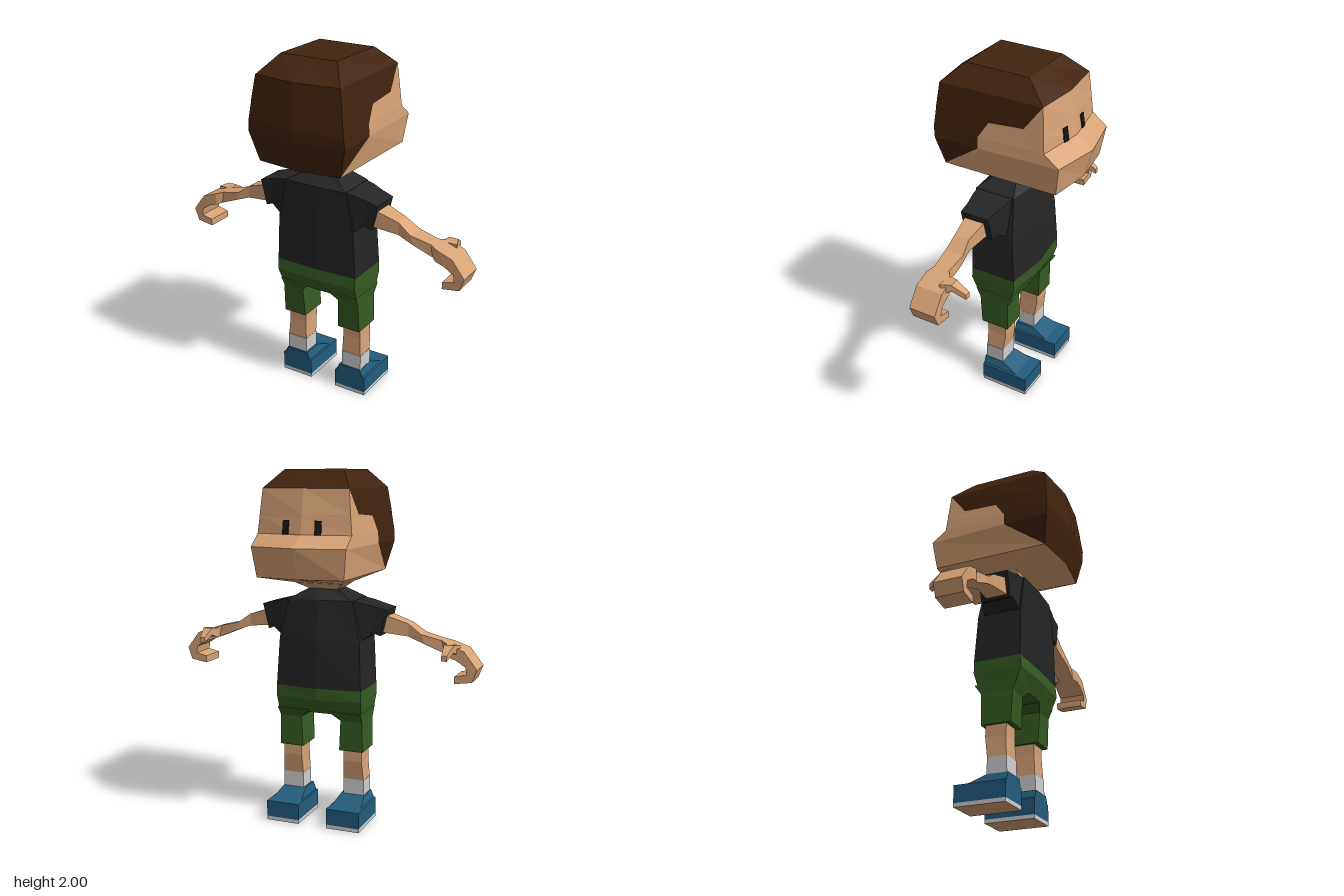
import * as THREE from 'three';

const mat = (name, color) => Object.assign(new THREE.MeshStandardMaterial({ color }), { name });
const skin = mat('skin', 0xd8a376), hair = mat('hair', 0x41230f), shirt = mat('shirt', 0x252526);
const shorts = mat('shorts', 0x365c23), sock = mat('sock white', 0xcfcfcf);
const shoe = mat('shoe blue', 0x225c7d), dark = mat('eye black', 0x161618);

// Faceted closed loft through equal-length rings; pick(row, column) chooses the material
// (row -1 is the first cap, the last row is the end cap). Winding is made to face outwards.
function loft(name, rings, mats, pick = () => 0) {
  const n = rings[0].length, last = rings.length - 1, tris = [];
  const add = (m, ...p) => {
    const [a, b, c] = p.map(q => new THREE.Vector3(...q));
    const area = b.clone().sub(a).cross(c.clone().sub(a));
    if (area.length() > 1e-7) tris.push({ m, p: [a, b, c] });
  };
  for (let i = 0; i < last; i++) for (let j = 0; j < n; j++) {
    const k = (j + 1) % n, m = pick(i, j);
    add(m, rings[i][j], rings[i][k], rings[i + 1][k]);
    add(m, rings[i][j], rings[i + 1][k], rings[i + 1][j]);
  }
  for (let j = 1; j < n - 1; j++) {
    add(pick(-1, j), rings[0][0], rings[0][j + 1], rings[0][j]);
    add(pick(last, j), rings[last][0], rings[last][j], rings[last][j + 1]);
  }
  const volume = tris.reduce((s, { p: [a, b, c] }) => s + a.dot(b.clone().cross(c)), 0);
  const geo = new THREE.BufferGeometry(), pts = [];
  mats.forEach((_, m) => {
    const own = tris.filter(t => t.m === m), start = pts.length;
    own.forEach(({ p: [a, b, c] }) => pts.push(...(volume < 0 ? [a, c, b] : [a, b, c])));
    geo.addGroup(start, own.length * 3, m);
  });
  geo.setFromPoints(pts);
  geo.computeVertexNormals();
  if (mats.length === 1) geo.clearGroups();
  const mesh = new THREE.Mesh(geo, mats.length === 1 ? mats[0] : mats);
  mesh.name = name;
  return mesh;
}

// Horizontal rectangle ring
const rect = (y, x0, x1, z0, z1) => [[x0, y, z0], [x1, y, z0], [x1, y, z1], [x0, y, z1]];
// Six-sided body ring with a crease down the front and back middle
const body = (y, w, fc, fk, bc, bk) =>
  [[0, y, fc], [w, y, fk], [w, y, bk], [0, y, bc], [-w, y, bk], [-w, y, fk]];
// Limb ring between a top and a bottom point, spanning z0 to z1
const limb = ([tx, ty, bx, by, z0, z1]) => [[tx, ty, z0], [tx, ty, z1], [bx, by, z1], [bx, by, z0]];

function makeHead() {
  const head = new THREE.Group();
  head.name = 'head';
  // y, front half width, back half width, front middle, front corner, hairline, back corner, back middle
  const rows = [
    [1.34, .08, .08, 0, 0, .06, .12, .12],
    [1.38, .14, .14, -.07, -.07, .12, .12, .12],
    [1.43, .25, .25, -.365, -.33, .34, .34, .37],
    [1.595, .27, .295, -.41, -.355, .11, .37, .405],
    [1.66, .27, .29, -.315, -.27, .11, .375, .41],
    [1.75, .261, .277, -.3, -.263, .05, .366, .398],
    [1.765, .26, .276, -.298, -.262, -.15, .365, .397],
    [1.9, .247, .255, -.275, -.25, -.25, .35, .38],
    [2, .17, .17, -.13, -.13, -.13, .24, .24],
  ];
  const rings = rows.map(([y, wf, wb, fc, fk, hl, bk, bc]) => {
    const wh = wf + (wb - wf) * (hl - fk) / (bk - fk);
    return [[0, y, fc], [wf, y, fk], [wh, y, hl], [wb, y, bk], [0, y, bc], [-wb, y, bk], [-wh, y, hl], [-wf, y, fk]];
  });
  const isHair = (i, j) => (i >= 7 || (i >= 2 && j >= 2 && j <= 5) ? 1 : 0);
  head.add(loft('face and hair', rings, [skin, hair], isHair));
  // Eyes lie on the sloping face
  for (const s of [1, -1]) {
    const eye = new THREE.Mesh(new THREE.BoxGeometry(.036, .075, .009), dark);
    eye.name = 'eye';
    eye.position.set(s * .092, 1.697, -.297);
    eye.quaternion.setFromUnitVectors(new THREE.Vector3(0, 0, -1), new THREE.Vector3(s * .16, .15, -1).normalize());
    head.add(eye);
  }
  return head;
}

function makeArm(s) {
  const arm = new THREE.Group();
  arm.name = s > 0 ? 'leftArm' : 'rightArm';
  const flip = rings => rings.map(r => r.map(([x, y, z]) => [s * x, y, z]));
  arm.add(loft('sleeve', flip([
    [.17, 1.287, .17, 1.06, -.04, .185], [.24, 1.275, .24, 1.067, -.03, .18],
    [.31, 1.257, .3, 1.11, -.01, .17], [.375, 1.24, .34, 1.095, 0, .17],
  ].map(limb)), [shirt]));
  // Forearm, palm and curled fingers
  arm.add(loft('armAndHand', flip([
    [.34, 1.212, .33, 1.112, .03, .155], [.485, 1.165, .485, 1.095, .05, .14],
    [.56, 1.112, .58, 1.06, .04, .148], [.675, 1.085, .69, 1.015, .05, .138],
    [.72, 1.072, .715, 1.005, .01, .158], [.81, 1.04, .765, .99, .005, .16],
    [.883, .945, .82, .955, .005, .16], [.857, .875, .826, .915, .005, .16],
    [.76, .86, .76, .9, .005, .16],
  ].map(limb)), [skin]));
  // Thumb points forward and down
  const thumb = [[.04, .69, .78, 1.01, 1.07], [-.02, .705, .76, 1.035, 1.075], [-.095, .712, .742, 1, 1.03]];
  arm.add(loft('thumb', flip(thumb.map(([z, x0, x1, y0, y1]) =>
    [[x0, y0, z], [x1, y0, z], [x1, y1, z], [x0, y1, z]])), [skin]));
  return arm;
}

function makeLeg(s) {
  const leg = new THREE.Group();
  leg.name = s > 0 ? 'leftLeg' : 'rightLeg';
  const part = (name, rows, mats, pick) =>
    leg.add(loft(name, rows.map(([y, a, b, z0, z1]) => rect(y, s * a, s * b, z0, z1)), mats, pick));
  part('shortsLeg', [[.655, .06, .252, -.075, .17], [.6, .12, .25, -.037, .145], [.425, .112, .253, -.035, .135]], [shorts]);
  part('calf', [[.44, .13, .24, -.015, .105], [.36, .13, .24, -.015, .103], [.25, .126, .248, 0, .108]], [skin]);
  part('sock', [[.25, .125, .25, 0, .11], [.15, .125, .25, 0, .112]], [sock]);
  part('shoe', [[.022, .085, .282, -.17, .12], [.115, .085, .282, -.17, .12],
    [.117, .095, .27, -.1, .12], [.16, .112, .252, 0, .12]], [shoe]);
  // Pale rim with a tan underside
  part('sole', [[0, .085, .282, -.17, .12], [.022, .085, .282, -.17, .12]], [sock, skin], i => (i === -1 ? 1 : 0));
  return leg;
}

export function createModel() {
  const model = new THREE.Group();
  model.name = 'boy';
  model.add(makeHead());
  model.add(loft('shirtBody', [
    body(.79, .254, -.11, -.08, .2, .19), body(1.065, .24, -.1, -.065, .2, .19),
    body(1.285, .19, -.07, -.045, .2, .19), body(1.35, .075, 0, 0, .12, .12),
  ], [shirt]));
  model.add(loft('shortsHips', [
    body(.64, .25, -.065, -.055, .165, .16), body(.725, .255, -.105, -.08, .205, .195),
    body(.79, .255, -.11, -.08, .2, .19),
  ], [shorts]));
  for (const s of [1, -1]) model.add(makeArm(s), makeLeg(s));
  return model;
}
